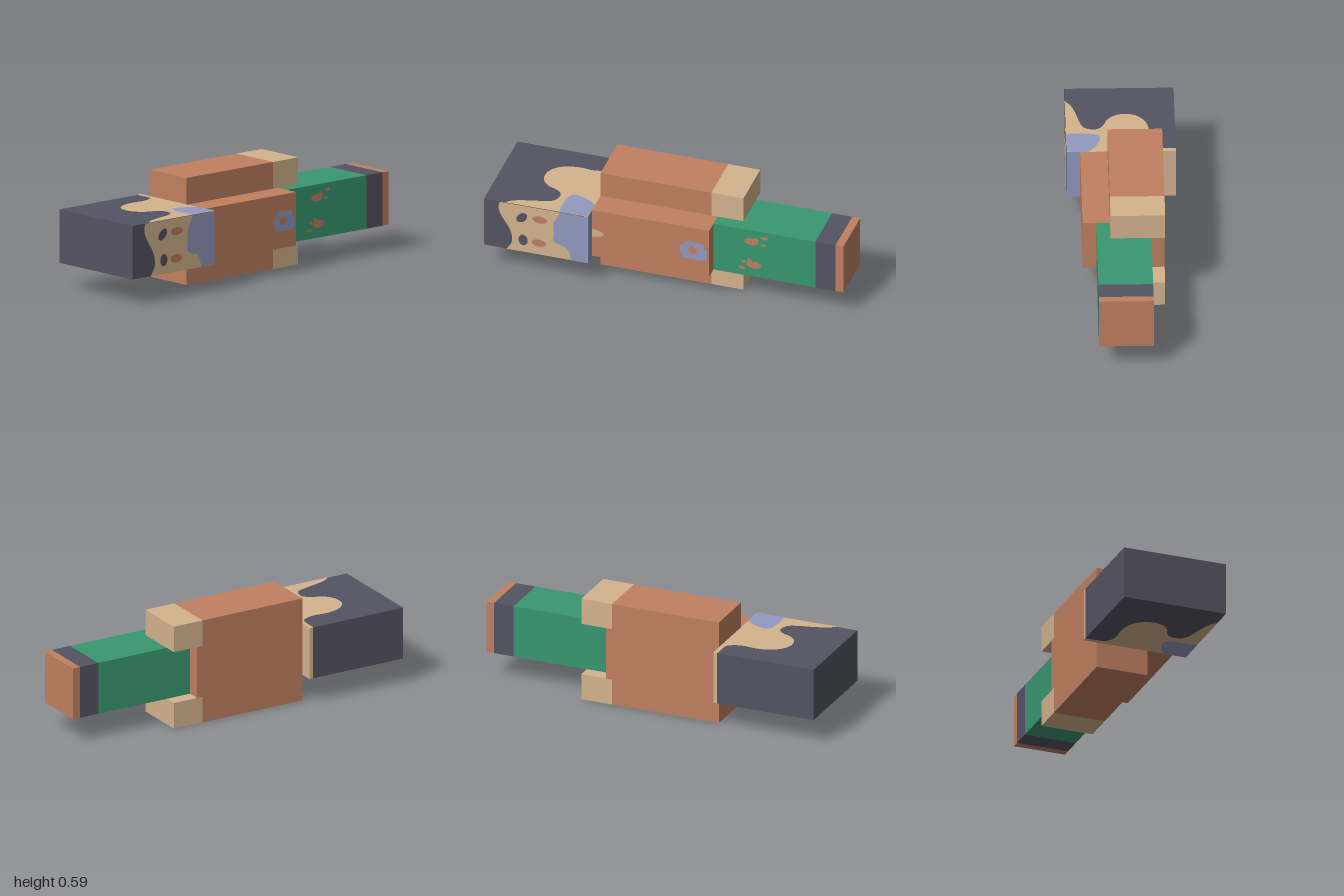
import * as THREE from 'three';

const mat = (name, color) => {
  const m = new THREE.MeshStandardMaterial({ color });
  m.name = name;
  return m;
};

export function createModel() {
  const navy = mat('navy', 0x545362);
  const tan = mat('tan', 0xd4b48e);
  const blue = mat('dusty blue', 0x9299bf);
  const brown = mat('copper brown', 0xc08060);
  const green = mat('green', 0x389870);

  const model = new THREE.Group();
  model.name = 'model';

  const U = 0.1482; // block unit
  const H = 2 * U; // half width of the head
  const Y0 = U, Y1 = 3 * U; // bottom and top of the central blocks
  const HEAD = 0.407, BODY = -0.26; // z of the joints

  const group = (name) => {
    const g = new THREE.Group();
    g.name = name;
    model.add(g);
    return g;
  };

  // Box from its extents
  const box = (parent, name, m, x0, x1, y0, y1, z0, z1) => {
    const mesh = new THREE.Mesh(new THREE.BoxGeometry(x1 - x0, y1 - y0, z1 - z0), m);
    mesh.position.set((x0 + x1) / 2, (y0 + y1) / 2, (z0 + z1) / 2);
    mesh.name = name;
    parent.add(mesh);
  };

  // Outline: a smooth wave closed by straight corners
  const outline = (wave, corners = []) => {
    const pts = new THREE.SplineCurve(wave.map((p) => new THREE.Vector2(...p))).getPoints(wave.length * 5);
    return pts.map((p) => [p.x, p.y]).concat(corners);
  };
  const oval = (u, v, ru, rv, tilt = 0) => {
    const c = new THREE.EllipseCurve(u, v, ru, rv, 0, Math.PI * 2, false, tilt);
    return c.getPoints(20).slice(0, 20).map((p) => [p.x, p.y]);
  };

  // Painted plates: side takes [z, y], top and bottom take [x, z]
  const plate = (parent, name, m, pts, face, at, hole) => {
    const flip = { side: [-1, 1], top: [1, -1], bottom: [1, 1] }[face];
    const v2 = (list) => list.map(([u, v]) => new THREE.Vector2(u * flip[0], v * flip[1]));
    const shape = new THREE.Shape(v2(pts));
    if (hole) shape.holes.push(new THREE.Path(v2(hole)));
    const mesh = new THREE.Mesh(new THREE.ShapeGeometry(shape), m);
    if (face === 'side') {
      mesh.rotation.y = Math.PI / 2;
      mesh.position.x = at;
    } else {
      mesh.rotation.x = face === 'top' ? -Math.PI / 2 : Math.PI / 2;
      mesh.position.y = at;
    }
    mesh.name = name;
    parent.add(mesh);
  };

  // Head block, with a tan and blue rear edge
  const head = group('head');
  box(head, 'headBlock', navy, -H, H, Y0, Y1, 0.43, 1);
  box(head, 'headRearTan', tan, -H, 0.17, Y0, Y1, HEAD, 0.43);
  box(head, 'headRearBlue', blue, 0.17, H, Y0, Y1, HEAD, 0.43);

  // Wavy patches on the top and bottom of the head
  const tanPatch = outline([
    [-H, 0.43], [-0.2, 0.433], [-0.165, 0.465], [-0.15, 0.52], [-0.155, 0.6], [-0.138, 0.68],
    [-0.09, 0.738], [-0.03, 0.756], [0.03, 0.742], [0.072, 0.7], [0.09, 0.655], [0.12, 0.62],
    [0.16, 0.615], [0.2, 0.635], [0.222, 0.69], [0.24, 0.765], [0.265, 0.84], [H, 0.88],
  ], [[H, HEAD], [-H, HEAD]]);
  const bluePatch = outline([
    [0.172, HEAD], [0.14, 0.45], [0.115, 0.51], [0.115, 0.55], [0.15, 0.568], [0.22, 0.575], [H, 0.572],
  ], [[H, HEAD]]);
  for (const [face, y, s] of [['top', Y1, 1], ['bottom', Y0, -1]]) {
    plate(head, face + 'TanPatch', tan, tanPatch, face, y + s * 0.002, null);
    plate(head, face + 'BluePatch', blue, bluePatch, face, y + s * 0.004, null);
  }

  // Left side of the head: patches and spots
  plate(head, 'sideTanPatch', tan, outline([
    [0.91, Y1], [0.915, 0.4], [0.895, 0.35], [0.86, 0.295], [0.842, 0.25], [0.84, 0.2], [0.87, Y0],
  ], [[HEAD, Y0], [HEAD, Y1]]), 'side', H + 0.002);
  plate(head, 'sideBluePatch', blue, outline([
    [0.565, Y1], [0.585, 0.4], [0.603, 0.36], [0.6, 0.3], [0.603, 0.255], [0.575, 0.237],
    [0.53, 0.222], [0.51, 0.19], [0.505, Y0],
  ], [[HEAD, Y0], [HEAD, Y1]]), 'side', H + 0.004);
  for (const [m, z, y, rz, ry, tilt] of [
    [navy, 0.783, 0.368, 0.038, 0.024, 0.8], [navy, 0.775, 0.225, 0.026, 0.034, 0],
    [brown, 0.68, 0.373, 0.043, 0.022, 0], [brown, 0.685, 0.222, 0.042, 0.023, 0],
  ]) plate(head, 'headSpot', m, oval(z, y, rz, ry, -tilt), 'side', H + 0.004);

  // Body block with its marks
  const body = group('body');
  const B = 1.5 * U;
  box(body, 'bodyBlock', brown, -B, B, Y0, Y1, BODY, HEAD);
  plate(body, 'bodyTanMark', tan, outline([
    [HEAD, 0.323], [0.37, 0.319], [0.34, 0.3], [0.37, 0.28], [HEAD, 0.276],
  ]), 'side', B + 0.002);
  plate(body, 'bodyRing', blue,
    [[-0.12, 0.355], [-0.225, 0.352], [-0.232, 0.32], [-0.25, 0.31], [-0.245, 0.255], [-0.215, 0.242],
      [-0.11, 0.245], [-0.105, 0.28], [-0.09, 0.29], [-0.095, 0.325], [-0.118, 0.33]],
    'side', B + 0.002, oval(-0.165, 0.3, 0.027, 0.024));

  // Upper and lower slabs with tan rear ends
  for (const [name, y] of [['lowerSlab', 0], ['upperSlab', Y1]]) {
    const slab = group(name);
    box(slab, 'slabMain', brown, -B, U / 2, y, y + U, -0.225, HEAD);
    box(slab, 'slabEnd', tan, -B, U / 2, y, y + U, -HEAD, -0.225);
  }

  // Banded tail with spots on its left side
  const tail = group('tail');
  box(tail, 'tailMain', green, -U, U, Y0, Y1, -0.84, BODY);
  box(tail, 'tailBand', navy, -U, U, Y0, Y1, -0.955, -0.84);
  box(tail, 'tailTip', brown, -U, U, Y0, Y1, -1, -0.955);
  for (const [z, y, rz, ry] of [
    [-0.475, 0.372, 0.04, 0.022], [-0.505, 0.385, 0.014, 0.018], [-0.55, 0.407, 0.019, 0.01],
    [-0.545, 0.361, 0.015, 0.008], [-0.49, 0.224, 0.042, 0.021], [-0.465, 0.245, 0.015, 0.018],
    [-0.432, 0.237, 0.015, 0.008], [-0.422, 0.196, 0.02, 0.01],
  ]) plate(tail, 'tailSpot', brown, oval(z, y, rz, ry), 'side', U + 0.002);

  return model;
}
